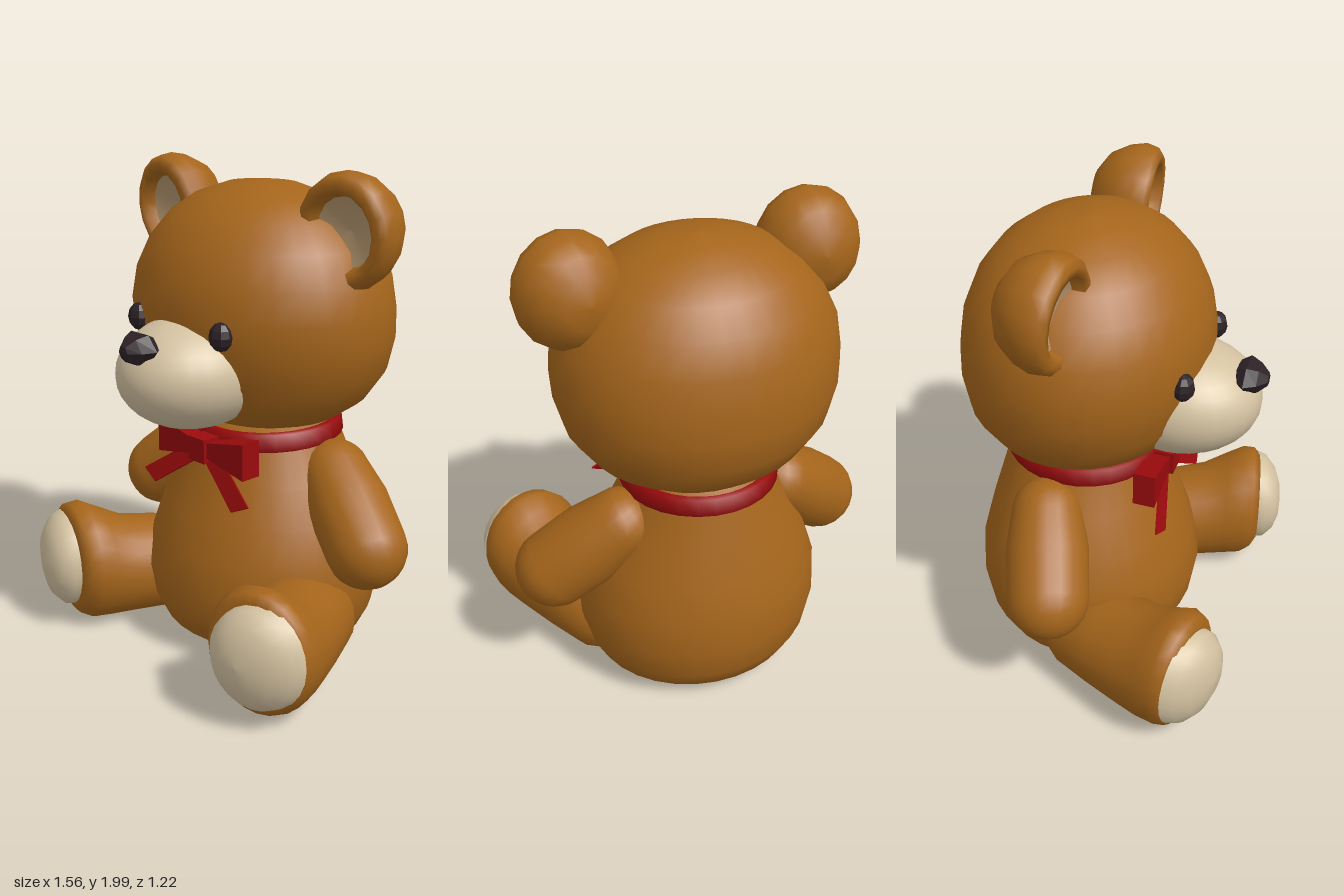
import * as THREE from 'three';
import { mergeVertices } from 'three/addons/utils/BufferGeometryUtils.js';

const mat = (name, color, side = THREE.FrontSide) => {
  const m = new THREE.MeshStandardMaterial({ color, side });
  m.name = name;
  return m;
};

// Smooth skin over elliptical rings [cx, cy, cz, ra, rb], stacked along y or z.
// tilt slides ring points along z according to their x offset.
function loft(rings, axis, tilt = 0, sides = 24) {
  const pos = [], idx = [];
  for (const [cx, cy, cz, ra, rb] of rings) {
    for (let j = 0; j < sides; j++) {
      const t = (j / sides) * Math.PI * 2;
      const a = ra * Math.cos(t), b = rb * Math.sin(t);
      if (axis === 'y') pos.push(cx + a, cy, cz + b);
      else pos.push(cx + a, cy - b, cz - tilt * a);
    }
  }
  for (let i = 0; i < rings.length - 1; i++) {
    for (let j = 0; j < sides; j++) {
      const k = (j + 1) % sides;
      const a = i * sides + j, b = a + sides, c = i * sides + k, d = c + sides;
      idx.push(a, b, c, b, d, c);
    }
  }
  const g = new THREE.BufferGeometry();
  g.setAttribute('position', new THREE.Float32BufferAttribute(pos, 3));
  g.setIndex(idx);
  g.computeVertexNormals();
  return g;
}

const lathe = (pts, sides) =>
  new THREE.LatheGeometry(pts.map(([x, y]) => new THREE.Vector2(x, y)), sides);

const ellipsoid = (x, y, z, rx, ry, rz, w = 28, h = 18) =>
  new THREE.SphereGeometry(1, w, h).scale(rx, ry, rz).translate(x, y, z);

// Rounded limb from point a (radius ra) to point b (radius rb), swelling to rm between
function limb(a, ra, rm, b, rb) {
  const dir = b.clone().sub(a), len = dir.length(), pts = [];
  for (let i = 0; i <= 6; i++) {
    const t = -Math.PI / 2 + (i / 6) * Math.PI / 2;
    pts.push([ra * Math.cos(t), ra * Math.sin(t)]);
  }
  pts.push([rm, len * 0.45]);
  for (let i = 0; i <= 6; i++) {
    const t = (i / 6) * Math.PI / 2;
    pts.push([Math.max(0, rb * Math.cos(t)), len + rb * Math.sin(t)]);
  }
  const q = new THREE.Quaternion().setFromUnitVectors(new THREE.Vector3(0, 1, 0), dir.normalize());
  return lathe(pts, 20).applyQuaternion(q).translate(a.x, a.y, a.z);
}

// Mirror a geometry across x = 0, keeping faces outward
function mirrored(geo) {
  const g = geo.index ? geo.clone() : mergeVertices(geo);
  const p = g.attributes.position, n = g.attributes.normal, ix = g.index;
  for (let i = 0; i < p.count; i++) {
    p.setX(i, -p.getX(i));
    n.setX(i, -n.getX(i));
  }
  for (let i = 0; i < ix.count; i += 3) {
    const t = ix.getX(i);
    ix.setX(i, ix.getX(i + 1));
    ix.setX(i + 1, t);
  }
  return g;
}

// Flat outline extruded forward from z
function slab(points, depth, z) {
  const s = new THREE.Shape(points.map(([x, y]) => new THREE.Vector2(x, y)));
  return new THREE.ExtrudeGeometry(s, { depth, bevelEnabled: false }).translate(0, 0, z);
}

export function createModel() {
  const fur = mat('brown fur', 0xa5651b);
  const cream = mat('cream plush', 0xd3c1a0);
  const innerEarMat = mat('inner ear tan', 0xb4966f);
  const dark = mat('dark nose and eyes', 0x2c2126);
  dark.flatShading = true;
  const red = mat('red ribbon', 0x9a0a0c, THREE.DoubleSide);

  const model = new THREE.Group();
  model.name = 'teddyBear';
  const add = (name, geo, m) => {
    const mesh = new THREE.Mesh(geo, m);
    mesh.name = name;
    model.add(mesh);
  };
  const addPair = (name, geo, m) => {
    add(name + 'Left', geo, m);
    add(name + 'Right', mirrored(geo), m);
  };

  // Body: pear shape, flat underneath
  add('body', loft([
    [0, 0.008, -0.13, 0, 0],
    [0, 0.01, -0.13, 0.27, 0.25],
    [0, 0.03, -0.13, 0.38, 0.34],
    [0, 0.08, -0.13, 0.45, 0.405],
    [0, 0.17, -0.13, 0.495, 0.45],
    [0, 0.3, -0.13, 0.52, 0.47],
    [0, 0.45, -0.14, 0.51, 0.45],
    [0, 0.6, -0.145, 0.46, 0.405],
    [0, 0.75, -0.155, 0.385, 0.35],
    [0, 0.9, -0.16, 0.31, 0.3],
    [0, 1.0, -0.16, 0.27, 0.27],
    [0, 1.02, -0.16, 0, 0],
  ], 'y', 0, 32), fur);

  // Head: full cheeks, rounded crown
  add('head', loft([
    [0, 0.945, -0.14, 0, 0],
    [0, 0.955, -0.14, 0.2, 0.19],
    [0, 1.0, -0.135, 0.33, 0.3],
    [0, 1.08, -0.135, 0.445, 0.395],
    [0, 1.2, -0.135, 0.53, 0.462],
    [0, 1.33, -0.13, 0.565, 0.485],
    [0, 1.45, -0.12, 0.57, 0.49],
    [0, 1.58, -0.12, 0.548, 0.468],
    [0, 1.7, -0.12, 0.487, 0.418],
    [0, 1.8, -0.12, 0.4, 0.34],
    [0, 1.87, -0.12, 0.29, 0.245],
    [0, 1.915, -0.12, 0.15, 0.13],
    [0, 1.927, -0.12, 0, 0],
  ], 'y', 0, 32), fur);

  // Face
  add('muzzle', ellipsoid(0, 1.225, 0.25, 0.275, 0.225, 0.325), cream);
  add('nose', loft([
    [0, 1.36, 0.46, 0, 0],
    [0, 1.36, 0.48, 0.07, 0.045],
    [0, 1.36, 0.515, 0.1, 0.065],
    [0, 1.355, 0.56, 0.065, 0.055],
    [0, 1.355, 0.595, 0.025, 0.025],
    [0, 1.355, 0.598, 0, 0],
  ], 'z', 0, 6), dark);
  addPair('eye', ellipsoid(0.235, 1.41, 0.325, 0.048, 0.056, 0.045, 8, 6), dark);

  // Ears: domed back, thick rim and a sunken lining set low towards the head
  const placeEar = (g) => g.rotateX(Math.PI / 2 + 0.08).rotateY(0.1).translate(0.49, 1.775, -0.02);
  addPair('ear', placeEar(lathe([
    [0, -0.255], [0.09, -0.245], [0.16, -0.2], [0.2, -0.13], [0.216, -0.065],
    [0.205, -0.015], [0.18, 0.005], [0.145, 0], [0.125, -0.07],
  ], 16).scale(0.97, 1, 1.03)), fur);
  addPair('innerEar', placeEar(lathe([[0.132, -0.045], [0.08, -0.07], [0, -0.08]], 16)), innerEarMat);

  // Arms hang outward and slightly forward
  addPair('arm', limb(
    new THREE.Vector3(0.36, 0.775, -0.185), 0.143, 0.166,
    new THREE.Vector3(0.612, 0.56, -0.09), 0.163), fur);

  // Legs reach forward and flare into upright feet
  addPair('leg', loft([
    [0.34, 0.2, -0.21, 0, 0],
    [0.35, 0.2, -0.18, 0.11, 0.11],
    [0.37, 0.21, -0.06, 0.185, 0.19],
    [0.43, 0.22, 0.1, 0.2, 0.21],
    [0.49, 0.235, 0.25, 0.21, 0.22],
    [0.53, 0.262, 0.35, 0.218, 0.248],
    [0.55, 0.285, 0.42, 0.222, 0.265],
    [0.57, 0.295, 0.465, 0.208, 0.248],
    [0.585, 0.3, 0.49, 0.18, 0.21],
    [0.59, 0.3, 0.48, 0, 0],
  ], 'z', 0.25), fur);
  addPair('solePad', loft([
    [0.595, 0.3, 0.47, 0.187, 0.215],
    [0.595, 0.3, 0.52, 0.175, 0.2],
    [0.595, 0.3, 0.565, 0.13, 0.15],
    [0.59, 0.3, 0.59, 0.07, 0.08],
    [0.59, 0.3, 0.597, 0, 0],
  ], 'z', 0.25), cream);

  // Ribbon round the neck, with bow loops, knot and tails
  add('collar', lathe([[0.29, -0.035], [0.322, -0.035], [0.315, 0.035], [0.28, 0.035]], 28)
    .rotateX(0.03).translate(0, 0.935, -0.15), red);
  addPair('bowLoop', slab([[0.02, 0.865], [0.25, 0.82], [0.25, 0.97], [0.02, 0.92]], 0.09, 0.14), red);
  add('bowKnot', new THREE.BoxGeometry(0.09, 0.1, 0.11).translate(0, 0.89, 0.19), red);
  const tail = slab([[0.02, 0.84], [0.23, 0.685], [0.31, 0.725], [0.1, 0.875]], 0.008, 0);
  tail.translate(0, -0.88, 0).rotateX(-0.35).translate(0, 0.88, 0.2);
  addPair('bowTail', tail, red);

  return model;
}
